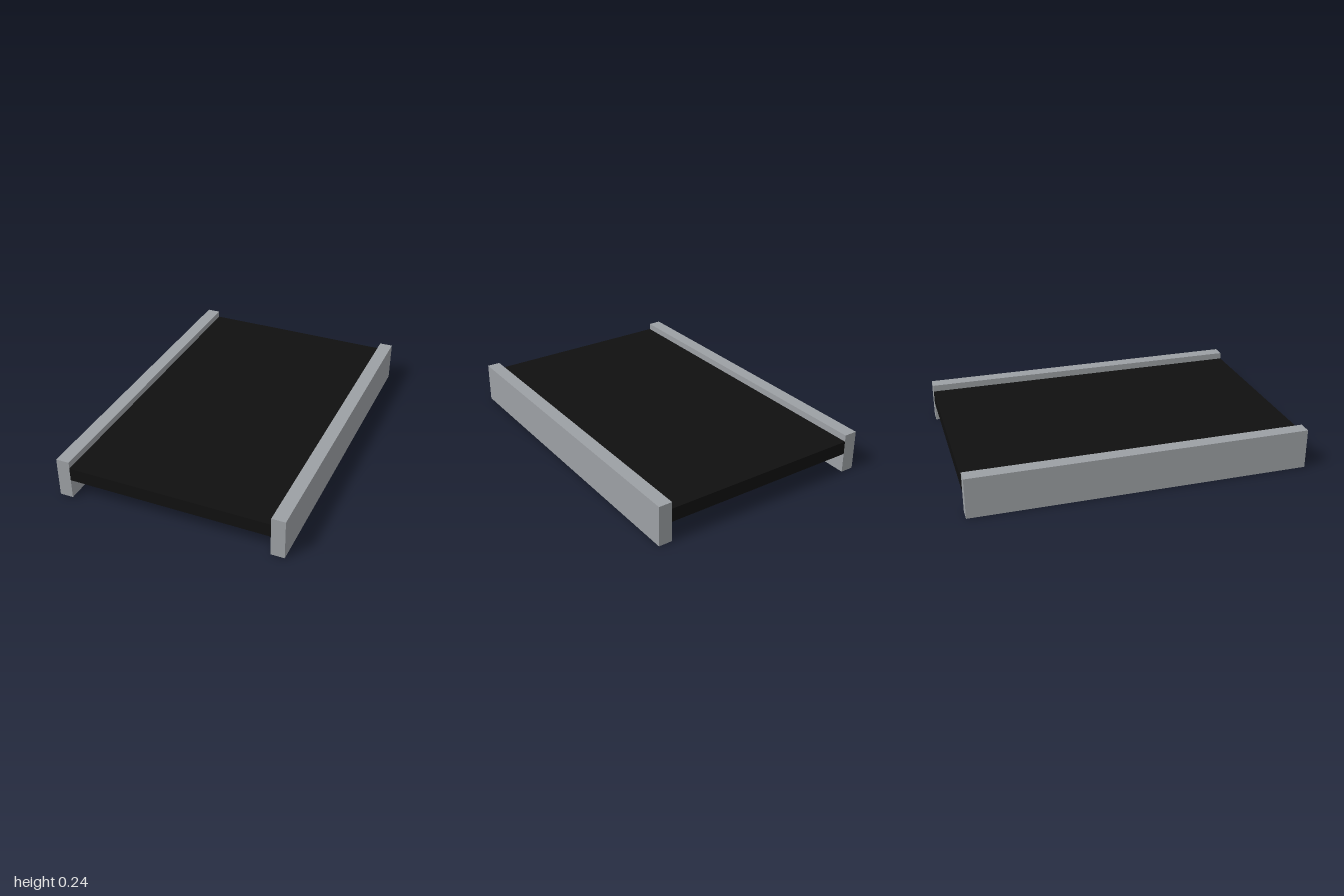
import * as THREE from 'three';

export function createModel() {
  const model = new THREE.Group();
  model.name = 'conveyor';

  const steel = new THREE.MeshStandardMaterial({ color: 0x9ca0a4, flatShading: true });
  steel.name = 'grey steel';
  const rubber = new THREE.MeshStandardMaterial({ color: 0x101010 });
  rubber.name = 'black rubber';

  const add = (name, geometry, material, x, y, z) => {
    const mesh = new THREE.Mesh(geometry, material);
    mesh.name = name;
    mesh.position.set(x, y, z);
    model.add(mesh);
  };

  // Flat belt between the rails
  add('belt', new THREE.BoxGeometry(1.2, 0.08, 2), rubber, 0, 0.16, 0);

  // Side rails
  const railGeometry = new THREE.BoxGeometry(0.08, 0.24, 2);
  add('leftRail', railGeometry, steel, 0.64, 0.12, 0);
  add('rightRail', railGeometry, steel, -0.64, 0.12, 0);

  // Five eight-sided rollers carrying the belt
  const rollerGeometry = new THREE.CylinderGeometry(0.05, 0.05, 1.2, 8).rotateZ(Math.PI / 2);
  for (let i = 0; i < 5; i++) {
    add(`roller${i + 1}`, rollerGeometry, steel, 0, 0.08, -0.8 + i * 0.4);
  }

  return model;
}
